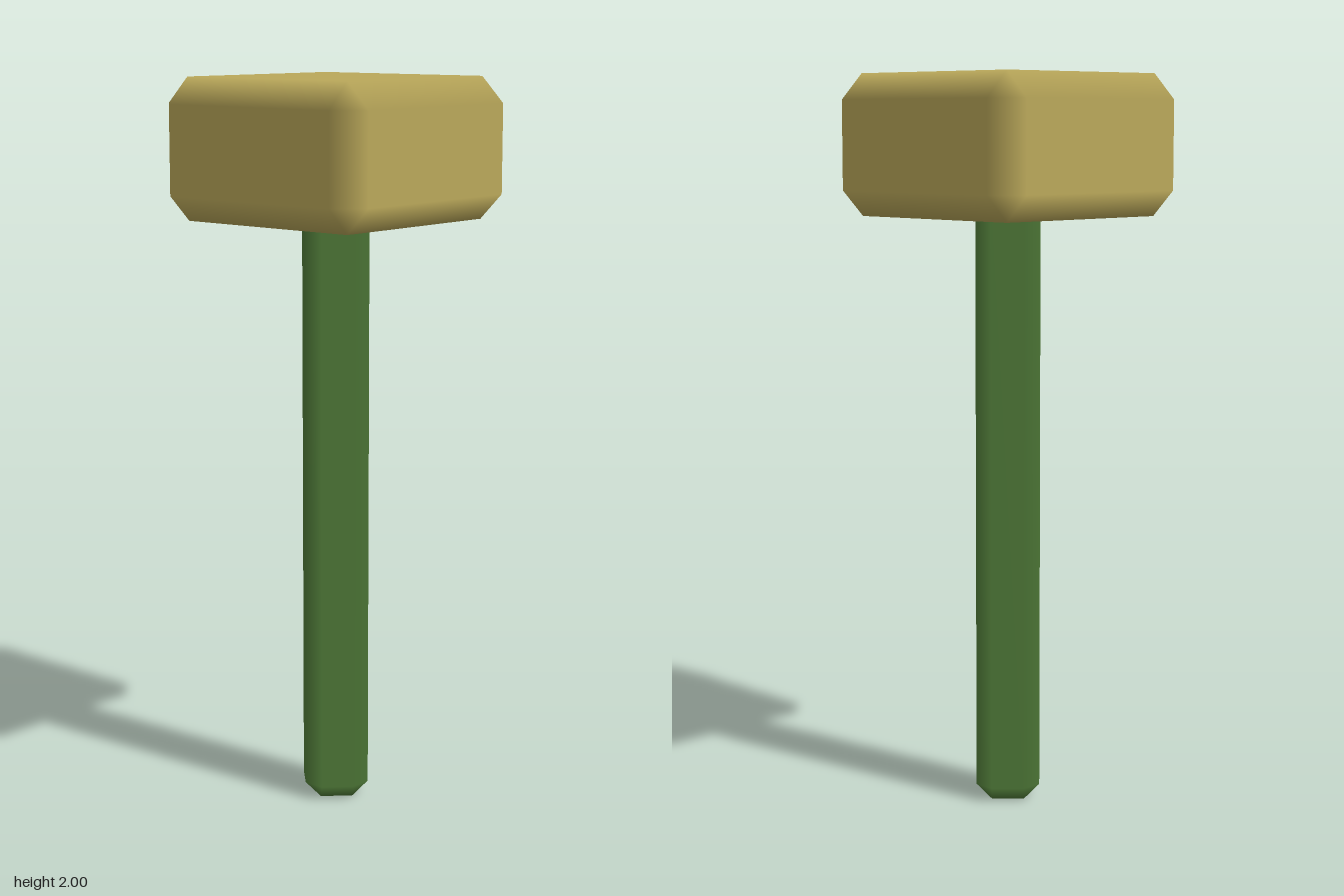
import * as THREE from 'three';
import { ConvexGeometry } from 'three/addons/geometries/ConvexGeometry.js';

// Box with one-step bevels: flat faces, with shading that blends across the bevels
function bevelBox(hx, hy, hz, c) {
  const half = [hx, hy, hz];
  const points = [];
  for (const sx of [-1, 1]) for (const sy of [-1, 1]) for (const sz of [-1, 1]) {
    const s = [sx, sy, sz];
    for (let axis = 0; axis < 3; axis++) {
      points.push(new THREE.Vector3(...half.map((h, i) => s[i] * (i === axis ? h : h - c))));
    }
  }
  const geo = new ConvexGeometry(points);

  // Each corner takes the normal of the main face it touches
  const pos = geo.attributes.position;
  const nor = geo.attributes.normal;
  for (let i = 0; i < pos.count; i++) {
    const p = [pos.getX(i), pos.getY(i), pos.getZ(i)];
    const n = p.map((v, k) => (Math.abs(v) > half[k] - c / 2 ? Math.sign(v) : 0));
    nor.setXYZ(i, ...n);
  }
  return geo;
}

function addPart(group, name, geo, color, y) {
  const mesh = new THREE.Mesh(geo, new THREE.MeshStandardMaterial({ color }));
  mesh.name = name;
  mesh.position.y = y;
  group.add(mesh);
  return mesh;
}

export function createModel() {
  const group = new THREE.Group();
  group.name = 'mallet';

  // Handle, running up into the head
  const top = 1.72;
  addPart(group, 'handle', bevelBox(0.0875, top / 2, 0.0875, 0.043), 0x4f7a38, top / 2);

  // Square head, turned a corner to the front
  const head = addPart(group, 'head', bevelBox(0.347, 0.19, 0.347, 0.07), 0xbaa85a, 1.81);
  head.rotation.y = Math.PI / 4;

  return group;
}
